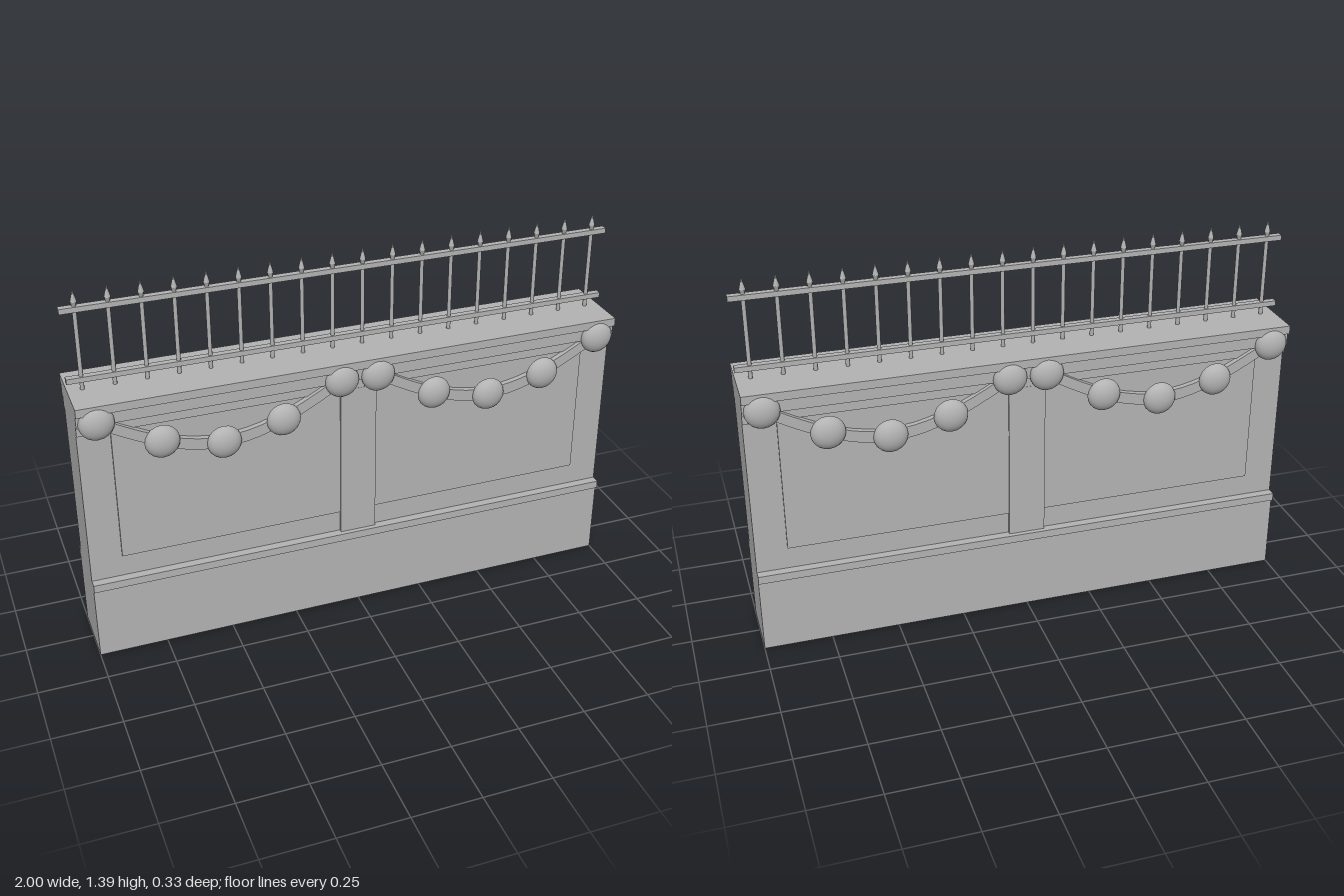
import * as THREE from 'three';

export function createModel() {
  const model = new THREE.Group();
  model.name = 'gardenWall';
  const stone = new THREE.MeshStandardMaterial({ color: 0xb3b3b3 });
  stone.name = 'grey stone';

  const add = (parent, name, geometry, x = 0, y = 0, z = 0) => {
    const mesh = new THREE.Mesh(geometry, stone);
    mesh.name = name;
    mesh.position.set(x, y, z);
    parent.add(mesh);
    return mesh;
  };
  // Box given by its width, bottom, top and half depth
  const slab = (name, width, y0, y1, halfDepth, x = 0) =>
    add(model, name, new THREE.BoxGeometry(width, y1 - y0, halfDepth * 2), x, (y0 + y1) / 2, 0);

  // Wall, from the ground up
  slab('plinth', 2, 0, 0.285, 0.12);
  slab('plinthMoulding', 2, 0.285, 0.315, 0.132);
  slab('wallBody', 2, 0.315, 0.912, 0.1);
  slab('corniceLower', 2, 0.912, 0.95, 0.113);
  slab('corniceMiddle', 2, 0.95, 0.997, 0.127);
  slab('corniceTop', 2, 0.997, 1.028, 0.14);
  slab('pilaster', 0.135, 0.315, 0.912, 0.114);
  for (const s of [-1, 1]) slab('raisedPanel', 0.818, 0.4, 0.912, 0.108, s * 0.476);

  // Garlands: a hanging ribbon with five domed rosettes
  const halfSpan = 0.4325, topY = 0.96, sag = 0.158;
  const hang = (t) => topY - sag * Math.sin(Math.PI * t);
  const ribbonShape = new THREE.Shape();
  const steps = 20, halfWidth = 0.0215;
  for (let i = 0; i <= steps; i++) {
    const t = i / steps;
    const x = (t * 2 - 1) * halfSpan;
    if (i === 0) ribbonShape.moveTo(x, hang(t) - halfWidth);
    else ribbonShape.lineTo(x, hang(t) - halfWidth);
  }
  for (let i = steps; i >= 0; i--) {
    const t = i / steps;
    ribbonShape.lineTo((t * 2 - 1) * halfSpan, hang(t) + halfWidth);
  }
  const ribbon = new THREE.ExtrudeGeometry(ribbonShape, { depth: 0.03, bevelEnabled: false });
  const radius = 0.062;
  const dome = new THREE.SphereGeometry(radius, 20, 7, 0, Math.PI * 2, 0, Math.PI / 2);
  dome.rotateX(Math.PI / 2).scale(1, 1, 0.036 / radius);
  const domeBack = new THREE.CircleGeometry(radius, 20).rotateY(Math.PI);

  for (const side of [0, 1]) {
    const face = new THREE.Group();
    face.name = side ? 'backGarlands' : 'frontGarlands';
    face.rotation.y = side * Math.PI;
    model.add(face);
    for (const cx of [-0.5, 0.5]) {
      add(face, 'garlandRibbon', ribbon, cx, 0, 0.099);
      for (let i = 0; i < 5; i++) {
        const x = cx + (i / 2 - 1) * halfSpan;
        add(face, 'rosette', dome, x, hang(i / 4), 0.127);
        add(face, 'rosetteBack', domeBack, x, hang(i / 4), 0.127);
      }
    }
  }

  // Railing: two rails and a row of spear-tipped bars
  slab('lowerRail', 2, 1.058, 1.077, 0.012);
  slab('upperRail', 2, 1.315, 1.334, 0.012);
  const bar = new THREE.CylinderGeometry(0.0075, 0.0075, 0.32, 8);
  const tipBase = new THREE.CylinderGeometry(0.0115, 0.0065, 0.016, 8);
  const tip = new THREE.ConeGeometry(0.0115, 0.045, 8);
  const bars = 18;
  for (let i = 0; i < bars; i++) {
    const x = -0.947 + (i * 1.894) / (bars - 1);
    add(model, 'railingBar', bar, x, 1.18, 0);
    add(model, 'spearBase', tipBase, x, 1.342, 0);
    add(model, 'spearTip', tip, x, 1.3725, 0);
  }
  return model;
}
